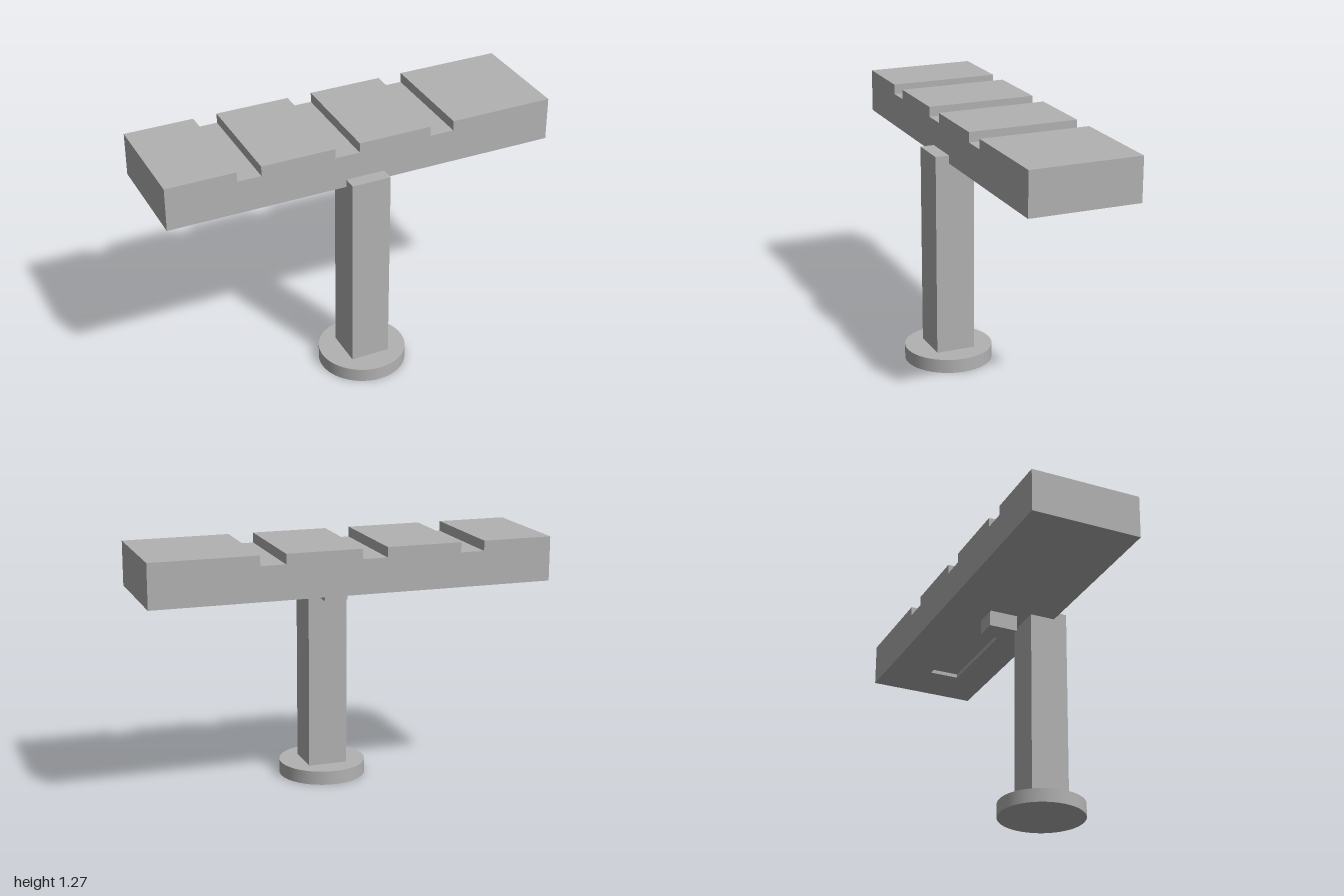
import * as THREE from 'three';

const grey = new THREE.MeshStandardMaterial({ color: 0xb2b2b2 });
grey.name = 'grey';

const BOTTOM = 1.05, CEILING = 1.07, GROOVE = 1.22, TOP = 1.27;
const BACK = -0.375, FRONT = 0.185;

function addMesh(parent, name, geometry) {
  const mesh = new THREE.Mesh(geometry, grey);
  mesh.name = name;
  parent.add(mesh);
  return mesh;
}

// Box given by its lower and upper limits on each axis
function addBox(parent, name, [x0, x1], [y0, y1], [z0, z1]) {
  const mesh = addMesh(parent, name, new THREE.BoxGeometry(x1 - x0, y1 - y0, z1 - z0));
  mesh.position.set((x0 + x1) / 2, (y0 + y1) / 2, (z0 + z1) / 2);
  return mesh;
}

function rectangle(target, x0, x1, y0, y1) {
  return target.moveTo(x0, y0).lineTo(x1, y0).lineTo(x1, y1).lineTo(x0, y1).closePath();
}

export function createModel() {
  const model = new THREE.Group();
  model.name = 'pedestalRack';

  // Round foot and square post
  const foot = addMesh(model, 'foot', new THREE.CylinderGeometry(0.22, 0.22, 0.07, 64));
  foot.position.set(0, 0.035, 0.155);
  addBox(model, 'post', [-0.1, 0.1], [0.07, 1.09], [0.055, 0.255]);

  const board = new THREE.Group();
  board.name = 'board';
  model.add(board);

  // Upper body: front outline with three grooves across the top
  const outline = new THREE.Shape();
  outline.moveTo(-1, CEILING).lineTo(1, CEILING).lineTo(1, TOP);
  for (const [left, right] of [[0.345, 0.47], [-0.155, -0.03], [-0.65, -0.53]]) {
    outline.lineTo(right, TOP).lineTo(right, GROOVE).lineTo(left, GROOVE).lineTo(left, TOP);
  }
  outline.lineTo(-1, TOP).closePath();
  const body = addMesh(board, 'groovedBody',
    new THREE.ExtrudeGeometry(outline, { depth: FRONT - BACK, bevelEnabled: false }));
  body.position.z = BACK;

  // Underside layer with a long shallow slot
  const plan = rectangle(new THREE.Shape(), -1, 1, BACK, FRONT);
  plan.holes.push(rectangle(new THREE.Path(), -0.05, 0.89, -0.145, 0.01));
  const underside = addMesh(board, 'slottedUnderside',
    new THREE.ExtrudeGeometry(plan, { depth: CEILING - BOTTOM, bevelEnabled: false }).rotateX(Math.PI / 2));
  underside.position.y = CEILING;

  // Flush block closing one end of the slot, and the slider tab hanging at the other
  addBox(board, 'slotBlock', [0.745, 0.89], [BOTTOM, CEILING], [-0.145, 0.01]);
  addBox(board, 'sliderTab', [-0.035, 0.08], [0.975, CEILING], [-0.143, 0.007]);

  return model;
}
